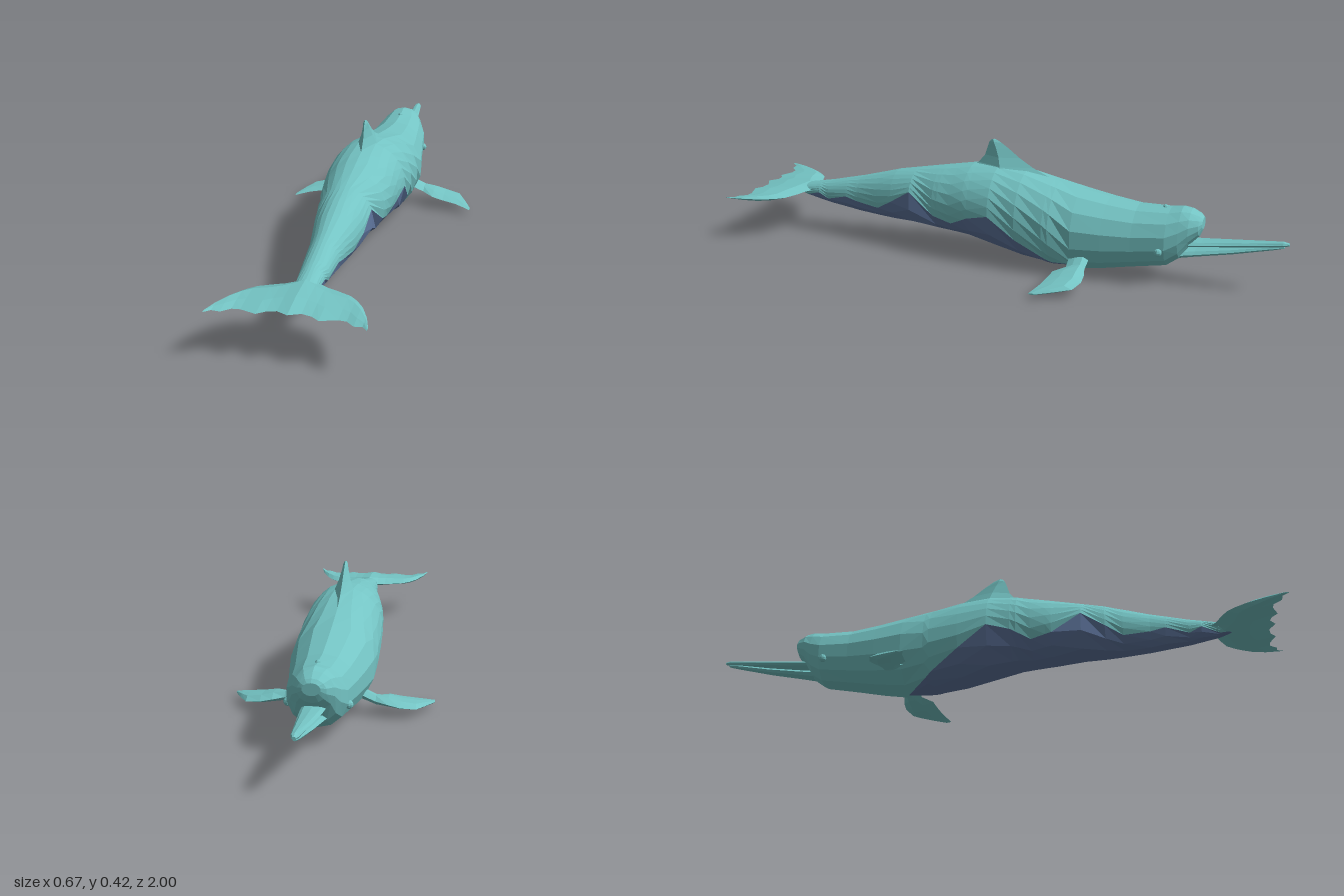
import * as THREE from 'three';

const teal = new THREE.MeshStandardMaterial({ color: 0x74c4c4, flatShading: true, side: THREE.DoubleSide });
teal.name = 'teal skin';
const slate = new THREE.MeshStandardMaterial({ color: 0x5f769e, flatShading: true, side: THREE.DoubleSide });
slate.name = 'slate belly';

// Skin a list of cross-sections; each ring repeats its first point if it is closed.
function loft(name, rings, material, capStart = true, capEnd = true) {
  const pos = [];
  const tri = (...pts) => pts.forEach((p) => pos.push(...p));
  for (let i = 0; i < rings.length - 1; i++) {
    for (let j = 0; j < rings[i].length - 1; j++) {
      const a = rings[i][j], b = rings[i][j + 1], c = rings[i + 1][j + 1], d = rings[i + 1][j];
      tri(a, d, b);
      tri(b, d, c);
    }
  }
  const cap = (ring, end) => {
    const n = ring.length - 1;
    const mid = [0, 1, 2].map((k) => ring.slice(0, n).reduce((s, p) => s + p[k], 0) / n);
    for (let j = 0; j < n; j++) end ? tri(mid, ring[j + 1], ring[j]) : tri(mid, ring[j], ring[j + 1]);
  };
  if (capStart) cap(rings[0], false);
  if (capEnd) cap(rings[rings.length - 1], true);
  const geo = new THREE.BufferGeometry();
  geo.setAttribute('position', new THREE.Float32BufferAttribute(pos, 3));
  geo.computeVertexNormals();
  const mesh = new THREE.Mesh(geo, material);
  mesh.name = name;
  return mesh;
}

// Linear lookup in rows sorted by their first value.
function sample(rows, z, k) {
  if (z <= rows[0][0]) return rows[0][k];
  for (let i = 1; i < rows.length; i++) {
    const a = rows[i - 1], b = rows[i];
    if (z <= b[0]) return a[k] + (b[k] - a[k]) * (z - a[0]) / (b[0] - a[0]);
  }
  return rows[rows.length - 1][k];
}

// Elliptical arc across the body; angle 0 is the back, positive toward +x.
function arc(z, top, bottom, w, from, to, n) {
  const c = (top + bottom) / 2, r = (top - bottom) / 2;
  return Array.from({ length: n + 1 }, (_, j) => {
    const t = from + (to - from) * j / n;
    return [w * Math.sin(t), c + r * Math.cos(t), z];
  });
}

// Blade section across x: [x, leading z, trailing z, y, half thickness]
function bladeRing([x, lead, trail, y, t]) {
  const at = (f, h) => [x, y + h * t, lead + (trail - lead) * f];
  return [at(1, 0), at(0.65, 0.7), at(0.25, 1), at(0, 0), at(0.25, -1), at(0.65, -0.7), at(1, 0)];
}
const mirrorRows = (rows) => rows.map(([x, ...rest]) => [-x, ...rest]).reverse();

// Body from forehead to tail stock: z, top y, bottom y, half width
const BODY = [
  [-0.72, 0.235, 0.195, 0.028], [-0.71, 0.246, 0.17, 0.045], [-0.68, 0.26, 0.135, 0.066],
  [-0.65, 0.265, 0.085, 0.08], [-0.61, 0.258, 0.055, 0.096], [-0.5, 0.255, 0.035, 0.11],
  [-0.4, 0.268, 0.015, 0.126], [-0.3, 0.285, 0, 0.141], [-0.2, 0.305, 0.006, 0.142],
  [-0.1, 0.327, 0.02, 0.14], [0, 0.337, 0.042, 0.136], [0.1, 0.33, 0.066, 0.128],
  [0.2, 0.311, 0.074, 0.115], [0.4, 0.272, 0.083, 0.082], [0.55, 0.23, 0.093, 0.056],
  [0.68, 0.198, 0.11, 0.045], [0.78, 0.178, 0.13, 0.035], [0.84, 0.168, 0.148, 0.018],
];
// Jagged colour edge along the flank: z, y
const SEAM = [
  [-0.3, 0], [-0.22, 0.03], [-0.1, 0.11], [0, 0.185], [0.08, 0.165], [0.15, 0.13], [0.22, 0.15],
  [0.32, 0.22], [0.4, 0.17], [0.46, 0.135], [0.55, 0.145], [0.6, 0.157], [0.68, 0.135],
  [0.72, 0.155], [0.78, 0.135],
];

function addBody(group) {
  const zs = [...new Set([...BODY, ...SEAM].map((r) => r[0]))].sort((a, b) => a - b);
  const skin = [], belly = [];
  for (const z of zs) {
    const top = sample(BODY, z, 1), bottom = sample(BODY, z, 2), w = sample(BODY, z, 3);
    const f = (2 * sample(SEAM, z, 1) - top - bottom) / (top - bottom);
    const edge = Math.acos(THREE.MathUtils.clamp(f, -1, 1));
    skin.push(arc(z, top, bottom, w, -edge, edge, 14));
    if (z >= -0.3) belly.push(arc(z, top, bottom, w, edge, 2 * Math.PI - edge, 6));
  }
  group.add(loft('body', skin, teal, true, false), loft('belly', belly, slate, false, false));
}

export function createModel() {
  const group = new THREE.Group();
  group.name = 'riverDolphin';
  addBody(group);

  // Long beak: z, top y, bottom y, half width
  const jaws = {
    upperJaw: [[-1, 0.183, 0.174, 0.006], [-0.98, 0.187, 0.168, 0.013], [-0.85, 0.172, 0.152, 0.024],
      [-0.72, 0.157, 0.136, 0.035], [-0.6, 0.15, 0.12, 0.04]],
    lowerJaw: [[-0.985, 0.171, 0.164, 0.006], [-0.95, 0.168, 0.154, 0.012], [-0.82, 0.143, 0.122, 0.022],
      [-0.7, 0.123, 0.098, 0.032], [-0.6, 0.112, 0.075, 0.042]],
  };
  for (const [name, rows] of Object.entries(jaws)) {
    group.add(loft(name, rows.map(([z, t, b, w]) => arc(z, t, b, w, 0, 2 * Math.PI, 8)), teal));
  }

  // Dorsal fin, swept back: y, front z, back z, half width
  const dorsal = [
    [0.3, -0.2, 0.14, 0.05], [0.335, -0.12, 0.085, 0.032], [0.365, -0.07, 0.06, 0.02],
    [0.395, -0.03, 0.05, 0.012], [0.415, 0, 0.043, 0.008], [0.424, 0.018, 0.034, 0.004],
  ].map(([y, f, b, w]) => {
    const m = f + (b - f) * 0.55;
    return [[0, y, f], [w, y, m], [0, y, b], [-w, y, m], [0, y, f]];
  });
  group.add(loft('dorsalFin', dorsal, teal));

  // Flippers
  const flipper = [
    [0.09, -0.36, -0.29, 0.078, 0.018], [0.15, -0.36, -0.295, 0.052, 0.015],
    [0.19, -0.371, -0.262, 0.046, 0.015], [0.23, -0.374, -0.256, 0.038, 0.013],
    [0.28, -0.36, -0.248, 0.031, 0.01], [0.31, -0.305, -0.238, 0.025, 0.007],
    [0.336, -0.25, -0.228, 0.019, 0.003],
  ];
  group.add(loft('leftFlipper', flipper.map(bladeRing), teal));
  group.add(loft('rightFlipper', mirrorRows(flipper).map(bladeRing), teal));

  // Tail flukes with scalloped trailing edge
  const fluke = [
    [0.035, 0.755, 0.945, 0.158, 0.016], [0.065, 0.772, 0.95, 0.156, 0.014],
    [0.09, 0.78, 0.968, 0.155, 0.013], [0.14, 0.803, 0.95, 0.154, 0.011],
    [0.165, 0.828, 0.952, 0.154, 0.01], [0.19, 0.866, 0.977, 0.155, 0.009],
    [0.215, 0.925, 0.978, 0.157, 0.005], [0.232, 0.985, 1, 0.16, 0.001],
  ];
  const flukes = [...mirrorRows(fluke), [0, 0.72, 0.965, 0.16, 0.021], ...fluke];
  group.add(loft('tailFlukes', flukes.map(bladeRing), teal));

  // Eyes and blowhole
  const bump = (name, r, x, y, z) => {
    const mesh = new THREE.Mesh(new THREE.SphereGeometry(r, 8, 6), teal);
    mesh.name = name;
    mesh.position.set(x, y, z);
    group.add(mesh);
  };
  bump('leftEye', 0.014, 0.094, 0.127, -0.592);
  bump('rightEye', 0.014, -0.094, 0.127, -0.592);
  bump('blowhole', 0.009, 0, 0.255, -0.59);
  return group;
}
